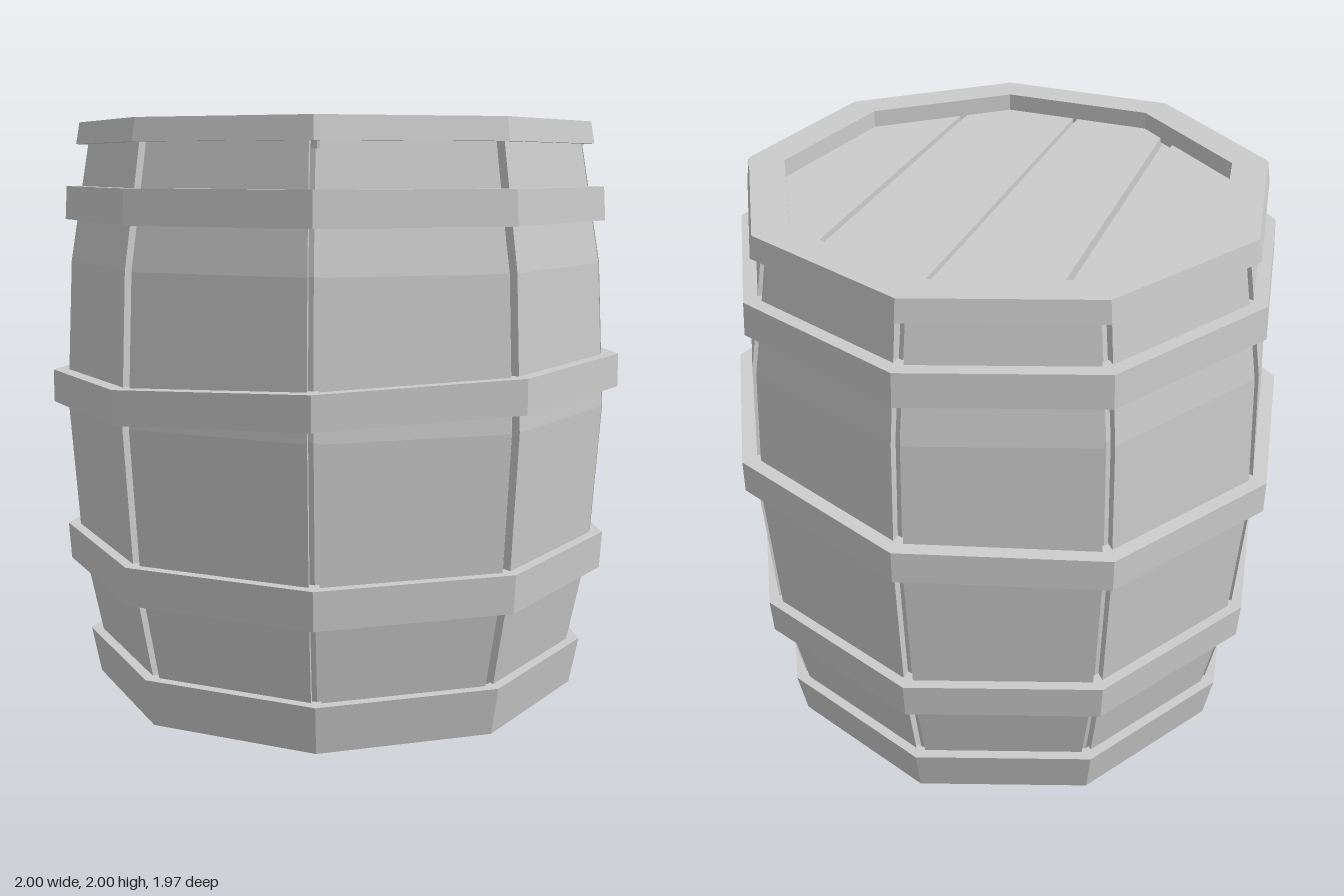
import * as THREE from 'three';

const SIDES = 9;
const HALF = Math.PI / SIDES;
const material = new THREE.MeshStandardMaterial({ color: 0xcccccc, flatShading: true });

// Radius of the stave corners against height
const BULGE = [[0.84, 0.03], [0.935, 0.5], [0.97, 1.02], [0.945, 1.52], [0.872, 1.95]];

function mesh(name, geometry) {
  const m = new THREE.Mesh(geometry, material);
  m.name = name;
  return m;
}

// Nine-sided turned part with a corner at the back
function turned(points) {
  return new THREE.LatheGeometry(points.map(([r, y]) => new THREE.Vector2(r, y)), SIDES, Math.PI);
}

// Closed nine-sided band; the tilt lifts its +x side
function hoop(name, y0, y1, r0, r1, inner0, inner1, tilt = 0) {
  const g = turned([[r0, y0], [r1, y1], [inner1, y1], [inner0, y0], [r0, y0]]);
  const p = g.attributes.position;
  for (let i = 0; i < p.count; i++) p.setY(i, p.getY(i) + tilt * p.getX(i));
  return mesh(name, g);
}

// One curved board, narrower than its side so a groove is left at each corner
function stave() {
  const g = new THREE.BoxGeometry(2, 1, 1, 1, BULGE.length - 1, 1);
  const p = g.attributes.position;
  for (let i = 0; i < p.count; i++) {
    const [r, y] = BULGE[Math.round((p.getY(i) + 0.5) * (BULGE.length - 1))];
    const depth = p.getZ(i) > 0 ? 0 : 0.06;
    const halfWidth = r * Math.sin(HALF) - 0.018 - depth * Math.tan(HALF);
    p.setXYZ(i, Math.sign(p.getX(i)) * halfWidth, y, r * Math.cos(HALF) - depth);
  }
  return g;
}

// Keep the part of a convex outline where side * (x - line) >= 0
function clip(points, [xBack, xFront], side) {
  const dist = ([x, z]) => side * (x - THREE.MathUtils.mapLinear(z, -0.6, 0.65, xBack, xFront));
  const out = [];
  points.forEach((a, i) => {
    const b = points[(i + 1) % points.length];
    const da = dist(a), db = dist(b);
    if (da >= 0) out.push(a);
    if (da * db < 0) {
      const t = da / (da - db);
      out.push([a[0] + (b[0] - a[0]) * t, a[1] + (b[1] - a[1]) * t]);
    }
  });
  return out;
}

export function createModel() {
  const barrel = new THREE.Group();
  barrel.name = 'barrel';

  // Inner body, seen in the grooves, between the lid planks and underneath
  const core = BULGE.map(([r, y]) => [r - 0.035, Math.min(y, 1.9)]);
  barrel.add(mesh('innerBody', turned([[0, 0.03], ...core, [0, 1.9]])));

  // Staves
  const staves = new THREE.Group();
  staves.name = 'staves';
  const staveGeometry = stave();
  for (let i = 0; i < SIDES; i++) {
    const s = mesh('stave', staveGeometry);
    s.rotation.y = i * 2 * HALF;
    staves.add(s);
  }
  barrel.add(staves);

  // Hoops, with the top one forming the rim around the lid
  barrel.add(
    hoop('bottomHoop', 0, 0.165, 0.873, 0.905, 0.835, 0.85),
    hoop('lowerHoop', 0.435, 0.565, 0.97, 0.978, 0.88, 0.9),
    hoop('middleHoop', 1.05, 1.165, 1.015, 1.015, 0.93, 0.93, 0.04),
    hoop('upperHoop', 1.665, 1.78, 0.957, 0.95, 0.88, 0.87),
    hoop('topRim', 1.925, 2, 0.913, 0.9, 0.773, 0.773)
  );

  // Lid planks, cut from the nine-sided opening with slightly slanted gaps
  const outline = Array.from({ length: SIDES }, (_, i) => {
    const a = Math.PI + i * 2 * HALF;
    return [0.79 * Math.sin(a), 0.79 * Math.cos(a)];
  });
  const planks = [
    [[-2, -2], [-0.43, -0.4]],
    [[-0.385, -0.345], [-0.004, -0.004]],
    [[0.012, 0.012], [0.41, 0.395]],
    [[0.432, 0.415], [2, 2]]
  ];
  const lid = new THREE.Group();
  lid.name = 'lid';
  for (const [left, right] of planks) {
    const cut = clip(clip(outline, left, 1), right, -1);
    const shape = new THREE.Shape(cut.map(([x, z]) => new THREE.Vector2(x, -z)));
    const g = new THREE.ExtrudeGeometry(shape, { depth: 0.06, bevelEnabled: false });
    g.rotateX(-Math.PI / 2).translate(0, 1.88, 0);
    lid.add(mesh('lidPlank', g));
  }
  barrel.add(lid);

  // Centre the nine-sided footprint front to back
  barrel.position.z = 0.03;
  const model = new THREE.Group();
  model.name = 'model';
  model.add(barrel);
  return model;
}
